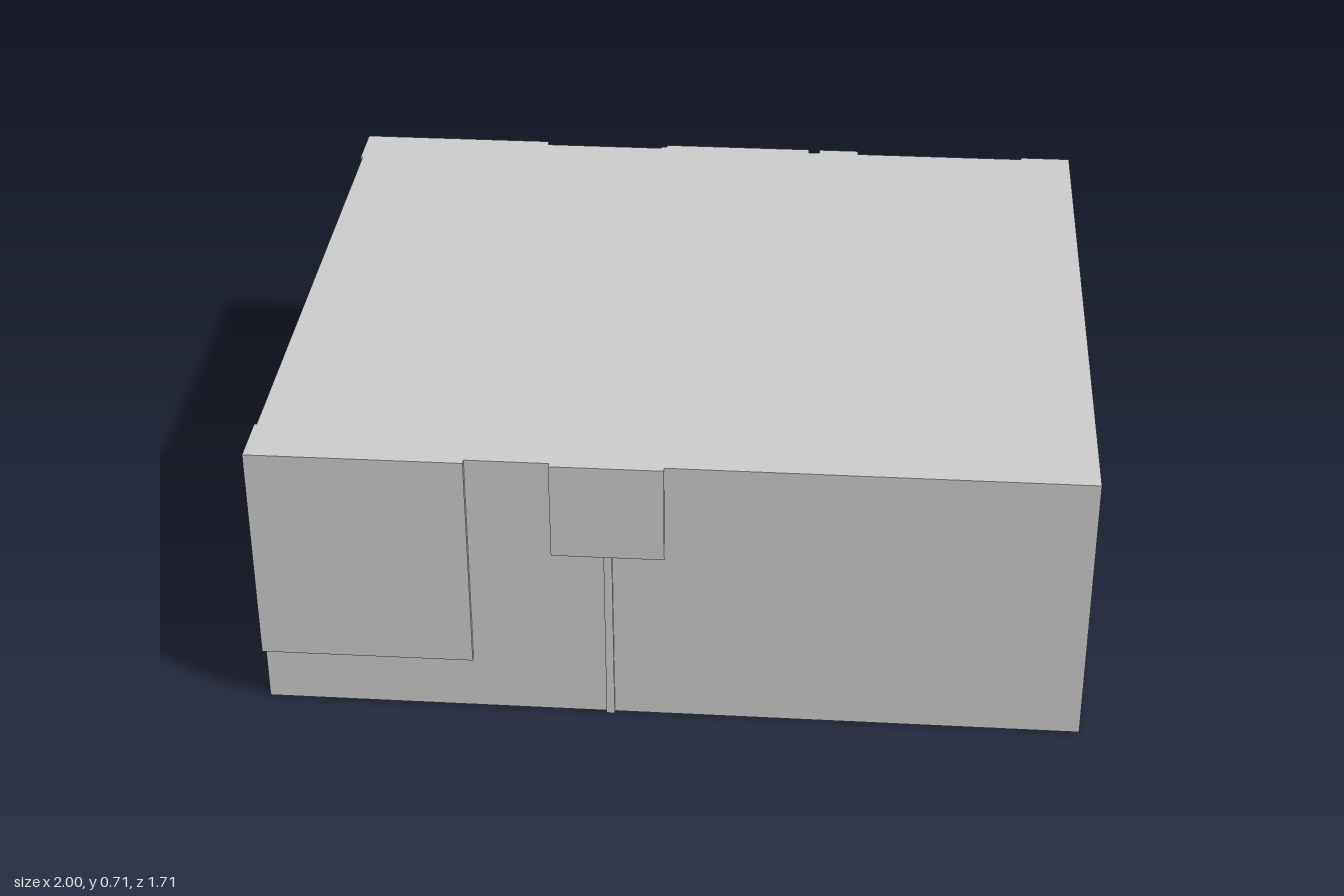
import * as THREE from 'three';

const H = 0.715;      // overall height
const LEFT = -0.994;  // body face on the -x side
const BACK = -0.838;  // body face at the back
const FRONT = 0.841;  // body face at the front

const material = new THREE.MeshStandardMaterial({ color: 0xcccccc, flatShading: true });

export function createModel() {
  const model = new THREE.Group();

  // Vertical prism with an xz outline, between two heights
  function prism(name, outline, y0, y1 = H) {
    const shape = new THREE.Shape(outline.map(([x, z]) => new THREE.Vector2(x, -z)));
    const geometry = new THREE.ExtrudeGeometry(shape, { depth: y1 - y0, bevelEnabled: false });
    geometry.rotateX(-Math.PI / 2).translate(0, y0, 0);
    const mesh = new THREE.Mesh(geometry, material);
    mesh.name = name;
    model.add(mesh);
  }

  // Shallow raised panel on the front or back wall
  const panel = (name, x0, x1, y0, y1, wall, face) =>
    prism(name, [[x0, wall], [x1, wall], [x1, face], [x0, face]], y0, y1);

  // Panel that wraps round a corner of the -x side
  const cornerPanel = (name, y0, wall, face, reach) =>
    prism(name, [[-1, reach], [-1, face], [-0.48, face], [-0.48, wall], [LEFT, wall], [LEFT, reach]], y0);

  // Main block, its front wall very slightly skewed
  prism('body', [[LEFT, BACK], [1, BACK], [1, 0.847], [LEFT, FRONT]], 0);

  // Front wall
  cornerPanel('frontCornerPanel', 0.145, FRONT, 0.857, 0.72);
  panel('frontUpperPanel', -0.28, -0.01, 0.465, H, FRONT, 0.857);
  panel('frontRib', -0.155, -0.135, 0, 0.465, FRONT, 0.853);

  // Back wall
  cornerPanel('backCornerPanel', 0.06, BACK, -0.858, -0.72);
  panel('backUpperPanel', -0.14, 0.265, 0.4, H, BACK, -0.858);
  panel('backRib', -0.155, -0.14, 0, H, BACK, -0.847);
  panel('backPilaster', 0.295, 0.405, 0, H, BACK, -0.858);
  panel('backEndPanel', 0.865, 1, 0.03, H, BACK, -0.848);

  return model;
}
